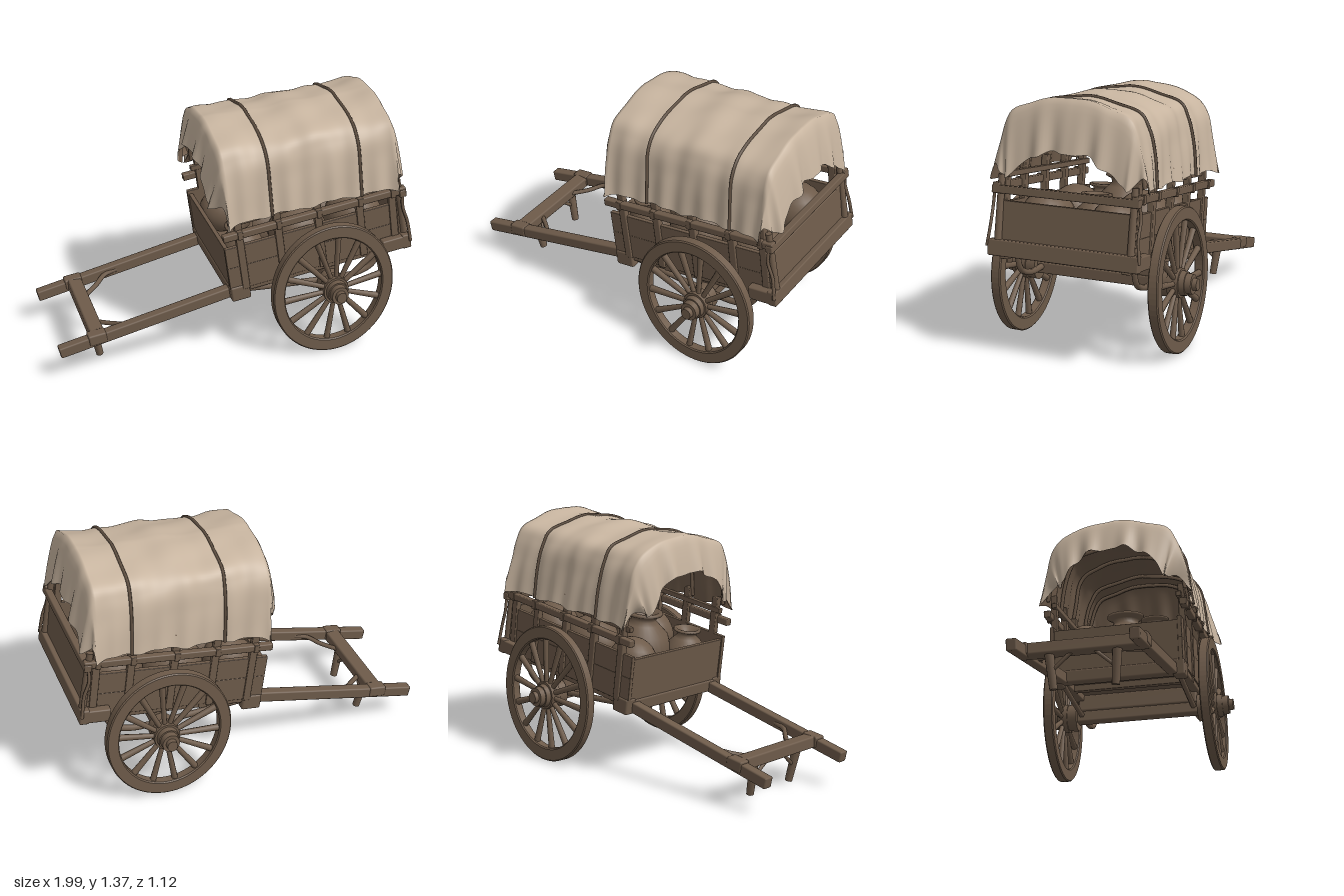
import * as THREE from 'three';
import { RoundedBoxGeometry } from 'three/addons/geometries/RoundedBoxGeometry.js';

const V = (x, y, z) => new THREE.Vector3(x, y, z);
const flat = (color, name) => {
  const m = new THREE.MeshStandardMaterial({ color, side: THREE.DoubleSide });
  m.name = name;
  return m;
};

export function createModel() {
  const wood = flat(0x6e5b4a, 'weathered wood');
  const dark = flat(0x5f4f41, 'dark rope');
  const cloth = flat(0xc7b49f, 'canvas');
  const root = new THREE.Group();
  root.name = 'coveredCart';

  const add = (parent, name, geo, mat, x = 0, y = 0, z = 0) => {
    const m = new THREE.Mesh(geo, mat);
    m.name = name;
    m.position.set(x, y, z);
    parent.add(m);
    return m;
  };
  // Squared timber from a to b; w is its horizontal width, h its depth
  const beam = (parent, name, a, b, w, h) => {
    const r = Math.min(w, h) * 0.15;
    const m = new THREE.Mesh(new RoundedBoxGeometry(w, h, a.distanceTo(b), 1, r), wood);
    m.name = name;
    m.position.copy(a).lerp(b, 0.5);
    m.lookAt(b);
    parent.add(m);
  };
  // Round pole from a to b
  const pole = (parent, name, a, b, r0, r1, sides = 10) => {
    const m = add(parent, name, new THREE.CylinderGeometry(r1, r0, a.distanceTo(b), sides), wood);
    m.position.copy(a).lerp(b, 0.5);
    m.quaternion.setFromUnitVectors(V(0, 1, 0), b.clone().sub(a).normalize());
  };
  const tube = (parent, name, pts, r, mat, n = 24) =>
    add(parent, name, new THREE.TubeGeometry(new THREE.CatmullRomCurve3(pts), n, r, 6), mat);

  // Body: built level, then tipped up toward the tail
  const body = new THREE.Group();
  body.name = 'body';
  body.position.y = 0.4;
  body.rotation.z = 0.137;
  root.add(body);
  beam(body, 'floor', V(-0.03, 0.045, 0), V(0.975, 0.045, 0), 0.72, 0.03);
  beam(body, 'frontBoard', V(-0.02, 0.15, -0.36), V(-0.02, 0.15, 0.36), 0.025, 0.24);
  beam(body, 'tailBoard', V(0.965, 0.19, -0.375), V(0.965, 0.19, 0.375), 0.025, 0.215);
  beam(body, 'tailLedge', V(0.982, 0.055, -0.42), V(0.982, 0.055, 0.42), 0.05, 0.085);
  beam(body, 'tailRail', V(0.985, 0.355, -0.41), V(0.985, 0.355, 0.41), 0.04, 0.042);
  beam(body, 'frontSill', V(0, 0, -0.37), V(0, 0, 0.37), 0.08, 0.07);
  for (const u of [0.3, 0.8]) {
    beam(body, 'floorBearer', V(u, 0.015, -0.37), V(u, 0.015, 0.37), 0.05, 0.04);
  }
  for (const s of [-1, 1]) {
    beam(body, 'lowerSideBoard', V(-0.04, 0.095, s * 0.36), V(0.975, 0.095, s * 0.36), 0.025, 0.145);
    beam(body, 'upperSideBoard', V(-0.04, 0.228, s * 0.36), V(0.975, 0.228, s * 0.36), 0.025, 0.125);
    beam(body, 'sideSill', V(0.03, 0.02, s * 0.34), V(0.975, 0.02, s * 0.34), 0.05, 0.05);
    beam(body, 'sideLedge', V(0.84, 0.055, s * 0.395), V(1.0, 0.055, s * 0.395), 0.05, 0.075);
    beam(body, 'sideRail', V(-0.045, 0.37, s * 0.385), V(1.005, 0.37, s * 0.385), 0.04, 0.04);
    beam(body, 'innerRail', V(0, 0.43, s * 0.355), V(0.95, 0.43, s * 0.355), 0.03, 0.03);
    for (const u of [0.05, 0.27, 0.5, 0.74, 0.93]) {
      beam(body, 'sidePost', V(u, 0.02, s * 0.365), V(u, 0.5, s * 0.365), 0.042, 0.035);
      beam(body, 'railClamp', V(u, 0.345, s * 0.38), V(u, 0.395, s * 0.38), 0.03, 0.058);
    }
    pole(body, 'tailPost', V(0.985, 0.09, s * 0.37), V(0.97, 0.43, s * 0.37), 0.02, 0.018);
    beam(body, 'shaftBracket', V(-0.04, 0, s * 0.345), V(0.07, 0, s * 0.345), 0.07, 0.09);
    tube(body, 'tailRope', [V(0.985, 0.36, s * 0.4), V(0.975, 0.28, s * 0.41),
      V(0.995, 0.18, s * 0.41), V(1.0, 0.06, s * 0.425)], 0.009, wood);
  }

  // Cargo: jars and sacks
  const jarProfile = [[0, 0], [0.07, 0], [0.11, 0.05], [0.122, 0.1], [0.105, 0.16], [0.065, 0.2], [0.05, 0.215],
    [0.055, 0.23], [0.075, 0.24], [0.075, 0.25], [0.06, 0.252], [0.042, 0.23], [0, 0.2]]
    .map(p => new THREE.Vector2(...p));
  for (const [u, z, k] of [[0.26, 0, 1.4], [0.1, 0.2, 1.05], [0.62, 0, 1.1]]) {
    add(body, 'jar', new THREE.LatheGeometry(jarProfile, 28), wood, u, 0.06, z).scale.setScalar(k);
  }
  for (const [u, z, r] of [[0.12, -0.2, 0.13], [0.45, -0.2, 0.16], [0.42, 0.21, 0.15],
    [0.75, 0.21, 0.15], [0.78, -0.2, 0.15]]) {
    add(body, 'sack', new THREE.SphereGeometry(r, 20, 14), wood, u, 0.2, z).scale.set(1.1, 0.98, 0.95);
  }

  // Shafts, yoke bar and prop legs
  for (const s of [-1, 1]) {
    beam(root, 'shaft', V(-0.99, 0.172, s * 0.308), V(0.04, 0.405, s * 0.308), 0.056, 0.062);
    beam(root, 'shaftCollar', V(-0.83, 0.222, s * 0.308), V(-0.73, 0.236, s * 0.308), 0.066, 0.062);
    tube(root, 'yokeBrace', [V(-0.75, 0.22, s * 0.14), V(-0.67, 0.235, s * 0.21),
      V(-0.6, 0.26, s * 0.275), V(-0.53, 0.275, s * 0.29)], 0.014, wood);
    pole(root, 'propLeg', V(-0.738, 0.02, s * 0.158), V(-0.778, 0.21, s * 0.175), 0.021, 0.026);
    pole(root, 'propBrace', V(-0.76, 0.11, s * 0.165), V(-0.775, 0.2, s * 0.06), 0.01, 0.01);
    // Curved timber from the front sill under the axle to the floor
    tube(root, 'underBrace', [V(0.02, 0.4, s * 0.33), V(0.3, 0.385, s * 0.33), V(0.55, 0.378, s * 0.33),
      V(0.7, 0.385, s * 0.33), V(0.8, 0.43, s * 0.33), V(0.84, 0.53, s * 0.33)], 0.017, wood, 32);
  }
  beam(root, 'yokeBar', V(-0.775, 0.224, -0.33), V(-0.775, 0.224, 0.33), 0.08, 0.065);
  beam(root, 'axle', V(0.535, 0.37, -0.4), V(0.535, 0.37, 0.4), 0.07, 0.065);
  beam(root, 'axleBolster', V(0.535, 0.45, -0.35), V(0.535, 0.45, 0.35), 0.08, 0.1);

  // Wheels, slightly taller than wide
  const ring = new THREE.Shape().absarc(0, 0, 0.35, 0, Math.PI * 2, false);
  ring.holes.push(new THREE.Path().absarc(0, 0, 0.283, 0, Math.PI * 2, true));
  const rimGeo = new THREE.ExtrudeGeometry(ring, {
    depth: 0.044, bevelEnabled: true, bevelSize: 0.006, bevelThickness: 0.006,
    bevelOffset: -0.006, bevelSegments: 1, curveSegments: 40,
  }).translate(0, 0, -0.022);
  for (const s of [-1, 1]) {
    const mount = new THREE.Group();
    mount.name = s > 0 ? 'leftWheel' : 'rightWheel';
    mount.position.set(0.52, 0.388, s * 0.445);
    mount.rotation.y = s > 0 ? 0 : Math.PI;
    root.add(mount);
    const wheel = new THREE.Group();
    wheel.name = 'wheel';
    wheel.rotation.x = -0.025;
    wheel.scale.y = 1.108;
    mount.add(wheel);
    add(wheel, 'rim', rimGeo, wood);
    // Hub drums: start, end and radius along the axle
    const hubX = s * 0.015;
    for (const [z0, z1, r] of [[-0.09, -0.035, 0.072], [-0.035, 0.025, 0.075], [0.025, 0.055, 0.06],
      [0.055, 0.088, 0.05], [0.088, 0.113, 0.03]]) {
      pole(wheel, 'hub', V(hubX, -0.01, z0), V(hubX, -0.01, z1), r, r * 0.95, 24);
    }
    for (let i = 0; i < 14; i++) {
      const a = ((i + 0.3) / 14) * Math.PI * 2, c = s * Math.cos(a), n = Math.sin(a);
      pole(wheel, 'spoke', V(hubX + c * 0.06, n * 0.06 - 0.01, 0), V(c * 0.295, n * 0.295, 0), 0.013, 0.018, 8);
    }
  }

  // Canvas cover: arched sections along x, with a valance hanging at both ends
  const half = new THREE.CatmullRomCurve3([V(0, 1, 0), V(0.1, 0.978, 0), V(0.2, 0.925, 0), V(0.295, 0.845, 0),
    V(0.345, 0.69, 0), V(0.375, 0.4, 0), V(0.398, 0, 0)]);
  const ridge = new THREE.CatmullRomCurve3([V(-0.1, 1.305, 0), V(0.06, 1.31, 0), V(0.22, 1.31, 0),
    V(0.38, 1.335, 0), V(0.54, 1.335, 0), V(0.7, 1.345, 0), V(0.86, 1.37, 0)]);
  // p runs 0..1 along the cart, t -1..1 across it, e 0..1 down the valance, out swells the surface
  const clothPoint = (p, t, e = 0, out = 0) => {
    const prof = half.getPoint(Math.abs(t)), top = ridge.getPoint(p), f = prof.y;
    const front = p < 0.5, low = 1 - f;
    const edge = Math.pow(Math.abs(2 * p - 1), 6);
    const hem = 0.845 + 0.085 * p + 0.008 * Math.sin(p * 23) - (p < 0.1 ? 0.02 * (1 - p * 10) : 0);
    const wrinkle = 0.006 * Math.sin(p * 19 + t * 7) * Math.cos(t * 9 - p * 8)
      + 0.007 * low * Math.sin(p * 48 + t * 3);
    const k = THREE.MathUtils.smoothstep(f, 0.12, 0.85);
    const fold = (Math.cos(t * 21 + 1) + 0.5 * Math.sin(t * 34)) * e;
    const shoulder = Math.min(prof.x / 0.3, 1) ** 4;
    const drop = front ? 0.2 + 0.09 * shoulder : 0.265 + 0.055 * shoulder;
    const shift = front ? -0.055 : 0.08;
    const pull = front ? 0.8 * f * low : 0.05 * k;
    return V(
      top.x + 0.03 * low + shift * Math.pow(e, 0.7) * k + 0.012 * fold,
      hem + (top.y - hem) * f + (wrinkle + out) * f - e * k * (drop + 0.006 * fold),
      Math.sign(t) * (prof.x * (1 + 0.1 * edge * low - pull * e) + (wrinkle + out) * Math.min(1, prof.x * 4)),
    );
  };
  const rows = [];
  for (let i = 8; i > 0; i--) rows.push([0, i / 8]);
  for (let i = 0; i <= 60; i++) rows.push([i / 60, 0]);
  for (let i = 1; i <= 8; i++) rows.push([1, i / 8]);
  const cols = 72;
  const pos = [], idx = [];
  rows.forEach(([p, e], r) => {
    for (let c = 0; c <= cols; c++) {
      pos.push(...clothPoint(p, (c / cols) * 2 - 1, e).toArray());
      if (r && c) {
        const d = r * (cols + 1) + c, a = d - cols - 2;
        idx.push(a, d, d - 1, a, a + 1, d);
      }
    }
  });
  const outer = new THREE.BufferGeometry();
  outer.setAttribute('position', new THREE.Float32BufferAttribute(pos, 3));
  outer.setIndex(idx);
  outer.computeVertexNormals();
  // Lining: the same sheet turned inside out and set in by the cloth's thickness
  const inner = outer.clone();
  inner.setIndex(idx.slice().reverse());
  const at = inner.attributes.position, nor = outer.attributes.normal;
  for (let i = 0; i < at.count; i++) {
    at.setXYZ(i, at.getX(i) - nor.getX(i) * 0.005, at.getY(i) - nor.getY(i) * 0.005, at.getZ(i) - nor.getZ(i) * 0.005);
  }
  inner.computeVertexNormals();
  add(root, 'canvasCover', outer, cloth);
  add(root, 'canvasLining', inner, wood);

  // Ropes over the canvas and hoops beneath it
  const arch = (p, out, reach) => {
    const pts = [];
    for (let i = 0; i <= 40; i++) pts.push(clothPoint(p, (i / 20 - 1) * reach, 0, out));
    return pts;
  };
  for (const p of [0.26, 0.79]) tube(root, 'coverRope', arch(p, 0.003, 1), 0.009, dark, 90);
  for (const p of [0.03, 0.26, 0.52, 0.79, 0.97]) tube(root, 'coverHoop', arch(p, -0.02, 0.98), 0.011, wood, 60);

  return root;
}
